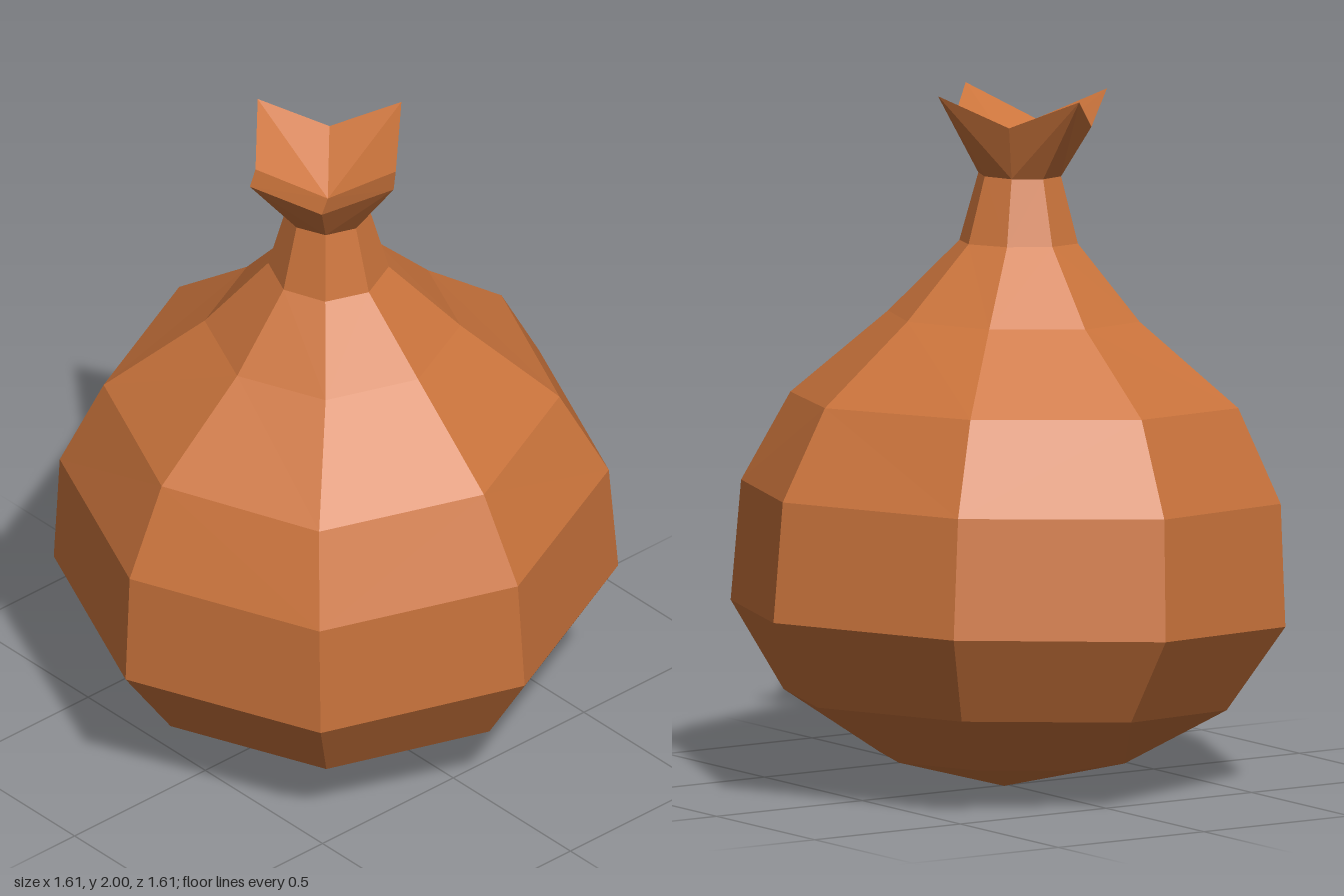
import * as THREE from 'three';

const SIDES = 8;

// One slightly tilted ring: centre, radius, rise towards +x and +z.
// Odd corners may have their own radius and height offset.
function ring(cx, cy, cz, r, riseX, riseZ, oddR = r, oddDrop = 0) {
  return Array.from({ length: SIDES }, (_, i) => {
    const a = (i / SIDES) * Math.PI * 2;
    const odd = i % 2 === 1;
    const radius = odd ? oddR : r;
    const c = Math.cos(a), s = Math.sin(a);
    return [cx + c * radius, cy + c * riseX + s * riseZ - (odd ? oddDrop : 0), cz + s * radius];
  });
}

const point = (x, y, z) => Array.from({ length: SIDES }, () => [x, y, z]);

// Faceted skin through a list of rings, facing outwards from bottom to top.
function skin(rings) {
  const pos = [];
  const same = (a, b) => a.every((v, k) => v === b[k]);
  const tri = (a, b, c) => {
    if (!same(a, b) && !same(b, c) && !same(a, c)) pos.push(...a, ...b, ...c);
  };
  for (let k = 0; k < rings.length - 1; k++) {
    const lo = rings[k], hi = rings[k + 1];
    for (let i = 0; i < SIDES; i++) {
      const j = (i + 1) % SIDES;
      // Diagonals alternate so both halves of each crown leaf mirror
      if (i % 2 === 0) {
        tri(lo[i], hi[i], lo[j]);
        tri(lo[j], hi[i], hi[j]);
      } else {
        tri(lo[i], hi[j], lo[j]);
        tri(lo[i], hi[i], hi[j]);
      }
    }
  }
  const g = new THREE.BufferGeometry();
  g.setAttribute('position', new THREE.Float32BufferAttribute(pos, 3));
  g.computeVertexNormals();
  return g;
}

export function createModel() {
  const group = new THREE.Group();
  group.name = 'pomegranate';
  const rind = new THREE.MeshStandardMaterial({ color: 0xcb743c });
  rind.name = 'rind orange';

  const add = (name, rings) => {
    const mesh = new THREE.Mesh(skin(rings), rind);
    mesh.name = name;
    group.add(mesh);
  };

  const shoulder = ring(-0.06, 1.557, 0.035, 0.172, 0.008, -0.008);
  const neckTop = ring(-0.067, 1.75, 0.04, 0.12, 0.005, -0.002);
  const crownRim = ring(-0.08, 1.985, 0.045, 0.29, 0.015, -0.01, 0.2, 0.09);

  // Round fruit, leaning a little towards -x and +z
  add('fruitBody', [
    point(0.02, 0, -0.01),
    ring(0.02, 0.08, 0, 0.355, 0.018, -0.01),
    ring(0.01, 0.247, 0, 0.643, 0.035, -0.02),
    ring(0, 0.495, 0, 0.805, 0.045, -0.025),
    ring(-0.02, 0.842, 0.015, 0.783, 0.04, -0.025),
    ring(-0.035, 1.105, 0.02, 0.65, 0.035, -0.03),
    ring(-0.04, 1.345, 0.03, 0.365, 0.017, -0.01),
    shoulder,
  ]);

  // Narrow neck
  add('neck', [shoulder, neckTop]);

  // Four-pointed crown, outside and hollow inside
  add('crownOutside', [neckTop, crownRim]);
  add('crownInside', [crownRim, point(-0.067, 1.79, 0.04)]);

  return group;
}
